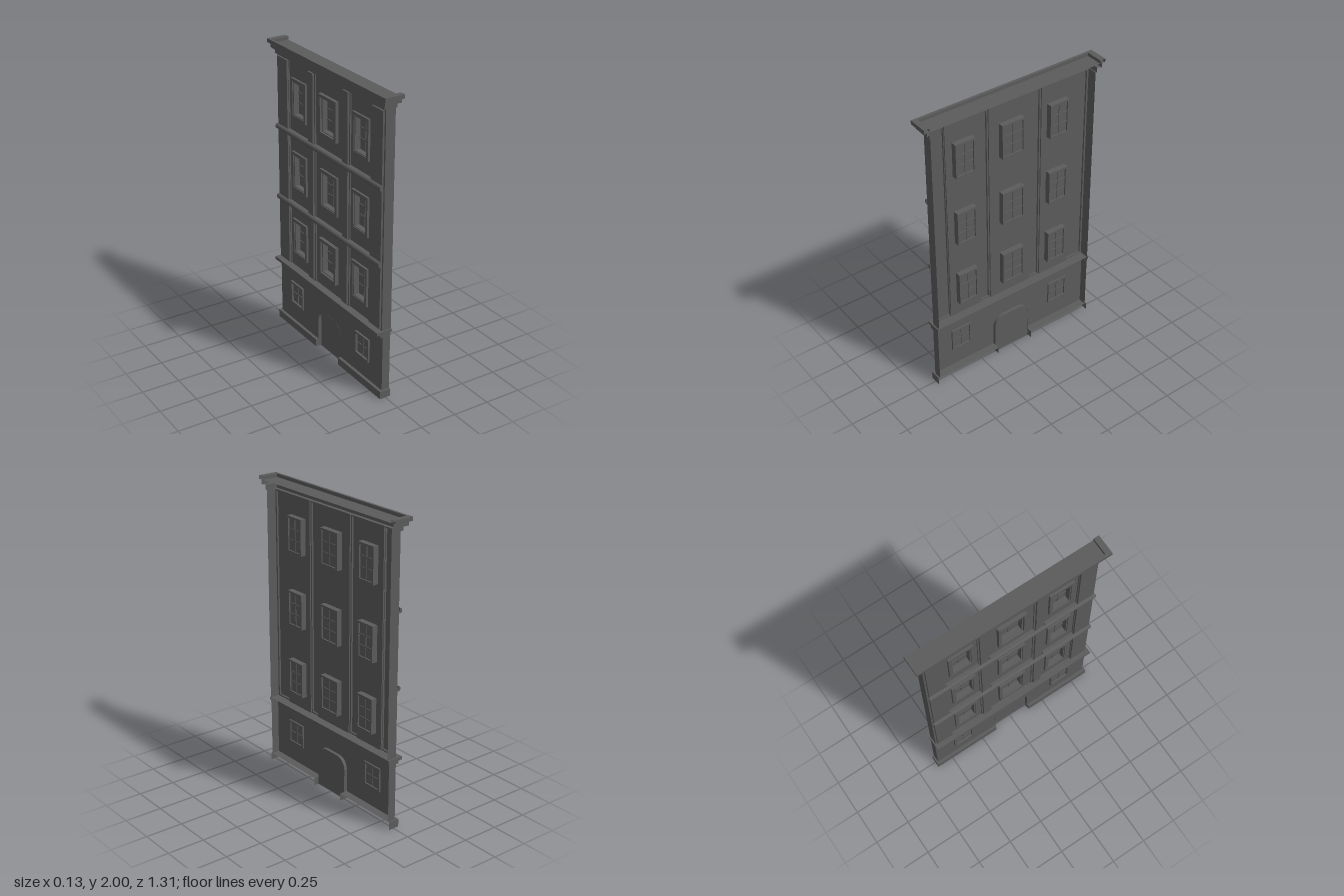
import * as THREE from 'three';

const mat = new THREE.MeshStandardMaterial({ color: 0x5b5b5b, side: THREE.DoubleSide, flatShading: true });

function add(parent, geo, name) {
  const m = new THREE.Mesh(geo, mat);
  m.name = name;
  parent.add(m);
}

// Box given by its limits along x, y and z
function box(parent, name, x0, x1, y0, y1, z0, z1) {
  const g = new THREE.BoxGeometry(x1 - x0, y1 - y0, z1 - z0);
  add(parent, g.translate((x0 + x1) / 2, (y0 + y1) / 2, (z0 + z1) / 2), name);
}

// Strip of quads joining rows of points
function loft(rows) {
  const p = [];
  for (let i = 0; i + 1 < rows.length; i++)
    for (let j = 0; j + 1 < rows[i].length; j++) {
      const a = rows[i][j], b = rows[i][j + 1], c = rows[i + 1][j + 1], d = rows[i + 1][j];
      p.push(...a, ...b, ...c, ...a, ...c, ...d);
    }
  const g = new THREE.BufferGeometry();
  g.setAttribute('position', new THREE.Float32BufferAttribute(p, 3));
  g.computeVertexNormals();
  return g;
}

// Moulding: profile points [x front, z half width, x back, y] wrapped round three sides
const moulding = (profile) => loft(profile.map(([xf, hz, xb, y]) =>
  [[xb, y, hz], [xf, y, hz], [xf, y, -hz], [xb, y, -hz]]));

// Vertical folded sheet with plan points [x, z]
const fold = (plan, y0, y1) => loft([y0, y1].map((y) => plan.map(([x, z]) => [x, y, z])));

// Horizontal sheet
const shelf = (x0, x1, y, z0, z1) => loft([x0, x1].map((x) => [[x, y, z0], [x, y, z1]]));

// Rectangle points in the facade plane
const rect = (z0, z1, y0, y1) =>
  [[z0, y0], [z1, y0], [z1, y1], [z0, y1]].map(([z, y]) => new THREE.Vector2(-z, y));

// Rectangular ring, its hole inset by t
function ring(z0, z1, y0, y1, t) {
  const s = new THREE.Shape(rect(z0, z1, y0, y1));
  s.holes.push(new THREE.Path(rect(z0 + t, z1 - t, y0 + t, y1 - t)));
  return s;
}

// Flat or thick panel in the facade plane, from x0 to x1
function panel(shape, x0, x1 = x0) {
  const g = x1 > x0
    ? new THREE.ExtrudeGeometry(shape, { depth: x1 - x0, bevelEnabled: false })
    : new THREE.ShapeGeometry(shape);
  return g.rotateY(Math.PI / 2).translate(x0, 0, 0);
}

// Door outline with rounded upper corners, starting at height y0
function archPoints(w, h, r, y0) {
  const pts = [new THREE.Vector2(-w, y0)];
  for (const s of [-1, 1])
    for (let i = 0; i <= 6; i++) {
      const a = ((s < 0 ? 12 - i : 6 - i) / 12) * Math.PI;
      pts.push(new THREE.Vector2(s * (w - r) + r * Math.cos(a), h - r + r * Math.sin(a)));
    }
  pts.push(new THREE.Vector2(w, y0));
  return pts;
}

// Window: deep frame, pane and glazing bars
function makeWindow(name, z0, z1, y0, y1, front, back, rows) {
  const g = new THREE.Group();
  g.name = name;
  const t = 0.013, px = back - 0.01, zc = (z0 + z1) / 2;
  add(g, panel(ring(z0, z1, y0, y1, t), front, back), 'windowFrame');
  add(g, panel(new THREE.Shape(rect(z0 + t, z1 - t, y0 + t, y1 - t)), px), 'windowPane');
  box(g, 'glazingBar', px - 0.005, px + 0.005, y0 + t, y1 - t, zc - 0.004, zc + 0.004);
  for (let i = 1; i < rows; i++) {
    const y = y0 + t + ((y1 - y0 - 2 * t) * i) / rows;
    box(g, 'glazingBar', px - 0.005, px + 0.005, y - 0.004, y + 0.004, z0 + t, z1 - t);
  }
  return g;
}

export function createModel() {
  const model = new THREE.Group();
  model.name = 'buildingFacade';
  const floors = [[0.575, 0.81], [1.05, 1.287], [1.545, 1.783]];
  const bandHeights = [0.928, 1.425];
  const WALL = -0.015, BASE = -0.023, FRONT = -0.035, Y0 = 0.476, Y1 = 1.912;

  // Upper wall bays with surrounds and windows on three floors
  const bays = [[-0.468, -0.235, -0.42, -0.278], [-0.157, 0.157, -0.083, 0.083], [0.235, 0.468, 0.278, 0.42]];
  bays.forEach(([b0, b1, w0, w1], i) => {
    const bay = new THREE.Shape(rect(b0, b1, Y0, Y1));
    floors.forEach(([y0, y1], f) => {
      bay.holes.push(new THREE.Path(rect(w0, w1, y0, y1)));
      model.add(makeWindow('upperWindow', w0, w1, y0, y1, -0.024, 0.023, 3));
      const front = i === 1 && f !== 1 ? -0.038 : -0.03;
      add(model, panel(ring(w0 - 0.015, w1 + 0.015, y0 - 0.012, y1 + 0.015, 0.02), front, WALL), 'windowSurround');
    });
    add(model, panel(bay, WALL), 'upperWall');
    for (const y of bandHeights) box(model, 'bandBacking', FRONT, WALL - 0.001, y - 0.016, y + 0.016, b0, b1);
  });

  // Pilasters: a flat step with a raised, hollow-backed panel
  const pilaster = (z0, z1, m0, m1, name) => {
    const step = new THREE.Shape(rect(z0, z1, Y0, Y1));
    const [p0, p1, q0, q1] = [z0 + m0, z1 - m1, Y0 + 0.01, Y1 - 0.012];
    step.holes.push(new THREE.Path(rect(p0, p1, q0, q1)));
    add(model, panel(step, BASE), name);
    add(model, panel(new THREE.Shape(rect(p0, p1, q0, q1)), FRONT), name + 'Panel');
    add(model, loft([BASE, FRONT].map((x) =>
      [[x, q0, p0], [x, q0, p1], [x, q1, p1], [x, q1, p0], [x, q0, p0]])), name + 'PanelEdge');
  };
  pilaster(0.468, 0.6, 0.004, 0.012, 'cornerPilaster');
  pilaster(-0.6, -0.468, 0.012, 0.004, 'cornerPilaster');
  pilaster(0.157, 0.235, 0.01, 0.01, 'innerPilaster');
  pilaster(-0.235, -0.157, 0.01, 0.01, 'innerPilaster');
  for (const s of [1, -1]) {
    for (const z of [0.157, 0.235, 0.468])
      add(model, fold([[WALL, s * z], [BASE, s * z]], Y0, Y1), 'pilasterSide');
    add(model, fold([[0.043, s * 0.6], [BASE, s * 0.6]], Y0, Y1), 'upperSideWall');
  }

  // Half-round bands between floors
  for (const y of bandHeights) {
    const g = new THREE.CylinderGeometry(0.018, 0.018, 1.19, 8, 1, false, Math.PI, Math.PI).rotateX(Math.PI / 2);
    add(model, g.translate(-0.036, y, 0), 'floorBand');
  }

  // Lower wall with door opening and two windows
  const lower = new THREE.Shape([
    new THREE.Vector2(-0.605, 0.052), ...archPoints(0.135, 0.285, 0.075, 0.052),
    new THREE.Vector2(0.605, 0.052), new THREE.Vector2(0.605, 0.435), new THREE.Vector2(-0.605, 0.435)]);
  for (const s of [1, -1]) {
    const [z0, z1] = s > 0 ? [0.318, 0.468] : [-0.465, -0.315];
    lower.holes.push(new THREE.Path(rect(z0, z1, 0.183, 0.345)));
    model.add(makeWindow('lowerWindow', z0, z1, 0.183, 0.345, -0.034, -0.009, 2));
    add(model, fold([[0.035, s * 0.605], [-0.02, s * 0.605]], 0.052, 0.435), 'lowerSideWall');

    // Plinth: front, end returns and top
    const a = s * 0.135, b = s * 0.617;
    add(model, fold([[0.036, a], [-0.04, a], [-0.04, b], [0.036, b]], 0, 0.052), 'plinth');
    add(model, shelf(-0.04, 0.036, 0.052, a, b), 'plinthTop');
  }
  add(model, panel(lower, -0.02), 'lowerWall');

  // Door recess and leaf
  const door = archPoints(0.135, 0.285, 0.075, 0);
  const reveal = new THREE.Shape([...door, ...archPoints(0.131, 0.281, 0.072, 0).reverse()]);
  add(model, panel(reveal, -0.021, 0.002), 'doorReveal');
  add(model, panel(new THREE.Shape(door), 0), 'door');

  // Ledge above the lower wall, with its shelf
  add(model, moulding([[-0.02, 0.605, 0.035, 0.435], [-0.04, 0.607, 0.037, 0.435], [-0.04, 0.607, 0.037, 0.456],
    [-0.065, 0.61, 0.043, 0.456], [-0.065, 0.61, 0.043, 0.476]]), 'ledge');
  add(model, shelf(-0.065, 0.043, 0.476, -0.61, 0.61), 'ledgeShelf');

  // Stepped cornice with rim and roof
  add(model, moulding([[WALL, 0.6, 0.043, Y1], [-0.04, 0.607, 0.048, Y1], [-0.04, 0.607, 0.048, 1.945],
    [-0.056, 0.632, 0.06, 1.945], [-0.056, 0.632, 0.06, 1.975], [-0.068, 0.653, 0.065, 1.975],
    [-0.068, 0.653, 0.065, 2], [-0.05, 0.615, 0.065, 2], [-0.05, 0.615, 0.065, 1.978]]), 'cornice');
  add(model, shelf(-0.05, 0.065, 1.978, -0.615, 0.615), 'roof');

  return model;
}
